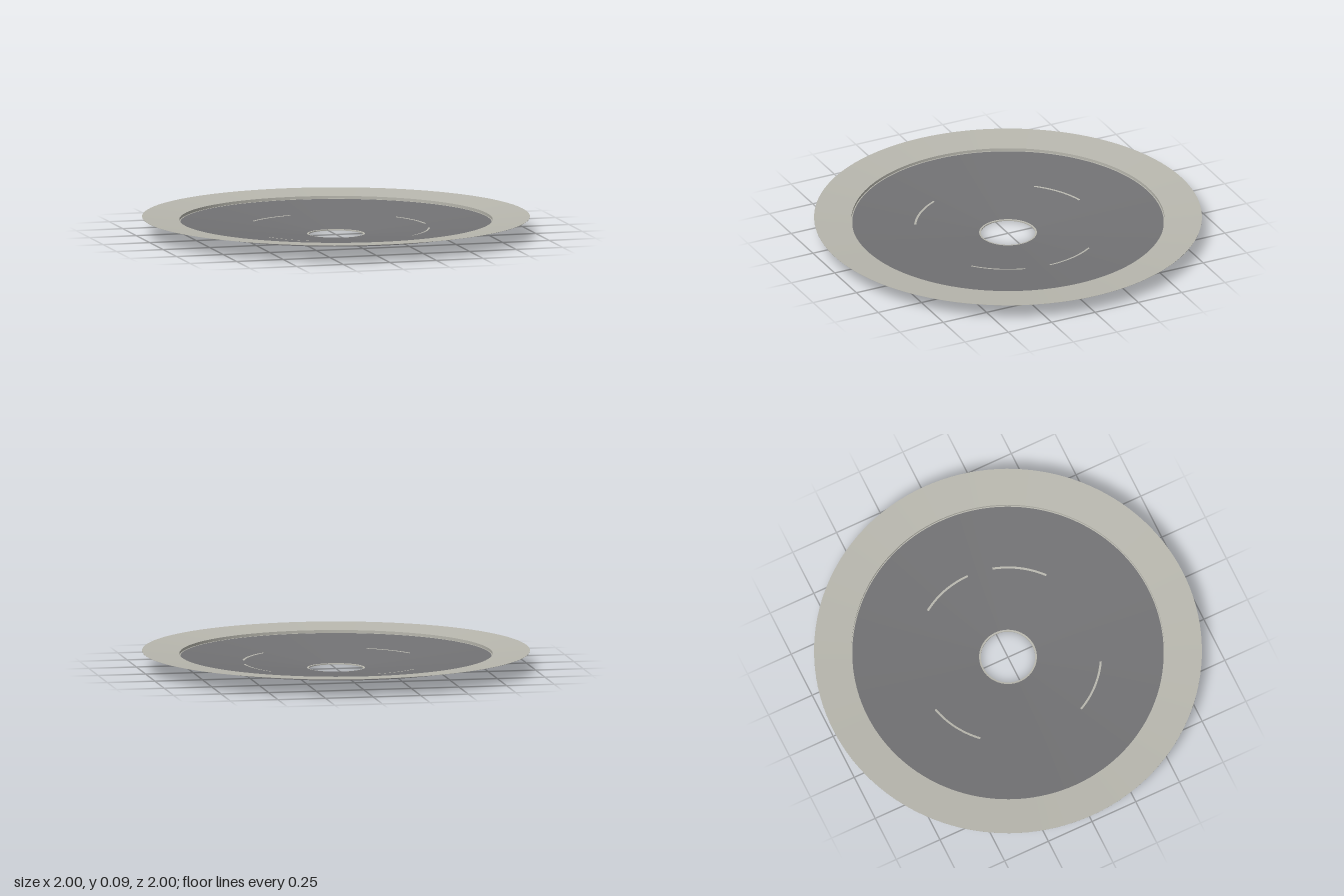
import * as THREE from 'three';

const SEGMENTS = 128;

export function createModel() {
  const group = new THREE.Group();
  group.name = 'shallowDish';

  const paleGrey = new THREE.MeshStandardMaterial({ name: 'paleWarmGrey', color: 0xb8b7ae });
  const darkGrey = new THREE.MeshStandardMaterial({ name: 'darkGrey', color: 0x727274 });

  // Revolves a profile; each straight run is its own mesh so edges stay crisp.
  function ring(name, material, from, to, startDeg = 0, lengthDeg = 360) {
    const points = [new THREE.Vector2(...from), new THREE.Vector2(...to)];
    const steps = Math.max(16, Math.round(SEGMENTS * lengthDeg / 360));
    const geometry = new THREE.LatheGeometry(points, steps,
      THREE.MathUtils.degToRad(startDeg), THREE.MathUtils.degToRad(lengthDeg));
    const mesh = new THREE.Mesh(geometry, material);
    mesh.name = name;
    group.add(mesh);
  }

  // Conical dish: dark faces with pale edging
  const dishInner = [0.149, 0.006], dishOuter = [0.803, 0.064];
  ring('dishUnderside', darkGrey, [0.14, 0], [0.815, 0.06]);
  ring('dishOuterEdge', darkGrey, [0.815, 0.06], [0.815, 0.065]);
  ring('dishTop', darkGrey, dishOuter, dishInner);
  ring('boreEdge', paleGrey, dishInner, [0.14, 0.005]);
  ring('boreWall', paleGrey, [0.14, 0.005], [0.14, 0]);

  // Collar stepping up from the dish to the rim
  ring('collarOutside', paleGrey, [0.815, 0.065], [0.815, 0.077]);
  ring('collarInside', paleGrey, [0.808, 0.079], [0.808, 0.0645]);
  ring('collarLedge', paleGrey, [0.808, 0.0645], dishOuter);

  // Thin flaring rim, tapering to a sharp edge
  ring('rimUnderside', paleGrey, [0.815, 0.077], [1, 0.094]);
  ring('rimEdge', paleGrey, [1, 0.094], [1, 0.095]);
  ring('rimTop', paleGrey, [1, 0.095], [0.808, 0.079]);

  // Four thin pale arcs lying on the dish
  const dishHeight = (r) => THREE.MathUtils.mapLinear(
    r, dishInner[0], dishOuter[0], dishInner[1], dishOuter[1]) + 0.0015;
  const arcs = [[-167, 34], [90, 34], [40, 34], [-64, 34]];
  arcs.forEach(([start, length], i) => {
    ring(`dishArc${i + 1}`, paleGrey,
      [0.485, dishHeight(0.485)], [0.474, dishHeight(0.474)], start, length);
  });

  return group;
}
